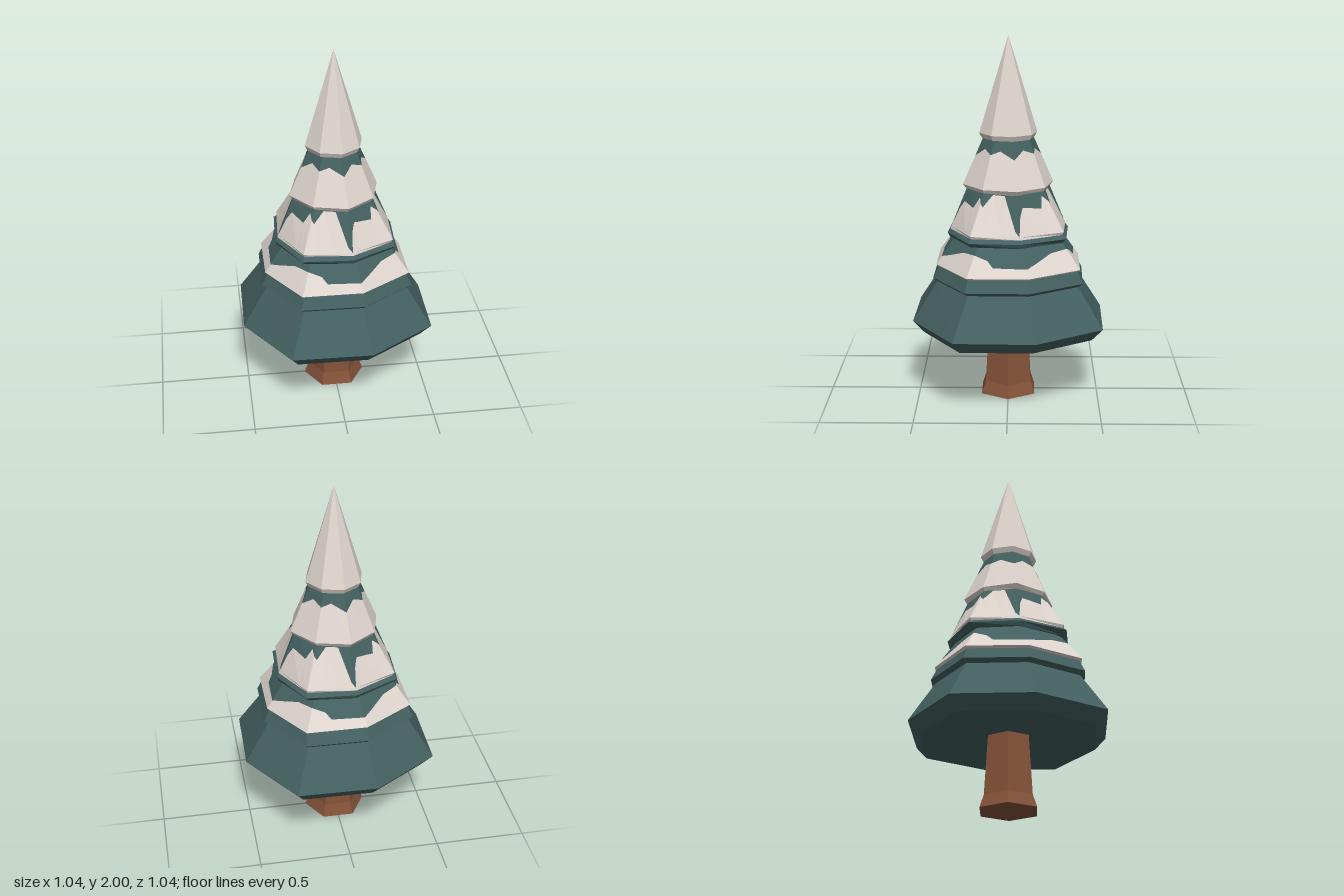
import * as THREE from 'three';

const mat = (name, color) => {
  const m = new THREE.MeshStandardMaterial({ color });
  m.name = name;
  return m;
};

// Corner of an eight-sided ring [y, weakRadius, strongRadius]; weak and strong corners alternate
function corner(ring, turn, k) {
  const a = THREE.MathUtils.degToRad(turn + 45 * k);
  const r = k % 2 ? ring[2] : ring[1];
  return new THREE.Vector3(Math.cos(a) * r, ring[0], Math.sin(a) * r);
}

// Point on a ring; t runs 0..1 over each quarter (two sides)
function onRing(ring, turn, quarter, t) {
  const half = t < 0.5 ? 0 : 1;
  const k = quarter * 2 + half;
  return corner(ring, turn, k).lerp(corner(ring, turn, k + 1), t * 2 - half);
}

function quad(out, l0, u0, u1, l1) {
  for (const p of [l0, u0, u1, l0, u1, l1]) out.push(p.x, p.y, p.z);
}

function toMesh(points, material, name) {
  const g = new THREE.BufferGeometry();
  g.setAttribute('position', new THREE.Float32BufferAttribute(points, 3));
  g.computeVertexNormals();
  const m = new THREE.Mesh(g, material);
  m.name = name;
  return m;
}

// Plain faceted skin through a list of rings
function skin(rings, turn) {
  const out = [];
  for (let i = 0; i + 1 < rings.length; i++)
    for (let k = 0; k < 8; k++)
      quad(out, corner(rings[i], turn, k), corner(rings[i + 1], turn, k),
        corner(rings[i + 1], turn, k + 1), corner(rings[i], turn, k + 1));
  return out;
}

// Sloping side split along a wavy line: snow below, needles above
function snowySlope(low, high, turn, edge) {
  const snow = [], green = [];
  for (let q = 0; q < 4; q++)
    for (let i = 0; i + 1 < edge.length; i++) {
      const [a, b] = [edge[i], edge[i + 1]].map(([t, v]) => {
        const l = onRing(low, turn, q, t), u = onRing(high, turn, q, t);
        return { l, u, m: l.clone().lerp(u, v) };
      });
      quad(snow, a.l, a.m, b.m, b.l);
      quad(green, a.m, a.u, b.u, b.m);
    }
  return { snow, green };
}

export function createModel() {
  const needles = mat('dark green needles', 0x446060);
  const snowMat = mat('snow', 0xdfd5cf);
  const bark = mat('brown bark', 0x84523a);
  const tree = new THREE.Group();
  tree.name = 'snowyFirTree';

  // Six-sided trunk with a flared foot
  const trunk = new THREE.Group();
  trunk.name = 'trunk';
  for (const [name, top, bottom, y0, y1] of [
    ['trunkFoot', 0.145, 0.17, 0, 0.07], ['trunkStem', 0.122, 0.145, 0.07, 0.42]]) {
    const g = new THREE.CylinderGeometry(top, bottom, y1 - y0, 6, 1, false, Math.PI / 2).toNonIndexed();
    g.computeVertexNormals();
    const m = new THREE.Mesh(g, bark);
    m.name = name;
    m.position.y = (y0 + y1) / 2;
    trunk.add(m);
  }
  tree.add(trunk);

  // Wide bare skirt, closed underneath
  tree.add(toMesh(skin([[0.4, 0.05, 0.05], [0.38, 0.48, 0.52], [0.45, 0.543, 0.586],
    [0.675, 0.4, 0.43]], -16), needles, 'bottomSkirt'));

  // Snow-covered tiers: rim rings, then a slope with its wavy snow line
  const tiers = [
    {
      name: 'lowerTier', turn: -16, rimMat: needles,
      rim: [[0.68, 0.36, 0.39], [0.67, 0.405, 0.438], [0.69, 0.427, 0.462], [0.755, 0.395, 0.43]],
      lip: [[0.755, 0.395, 0.43], [0.765, 0.407, 0.445]],
      top: [0.93, 0.29, 0.315],
      edge: [[0, 0.27], [0.3, 0.3], [0.36, 0.5], [0.5, 0.65], [0.7, 0.6], [0.9, 0.38], [1, 0.27]],
    },
    {
      name: 'middleTier', turn: -11.5, rimMat: needles,
      rim: [[0.935, 0.26, 0.28], [0.91, 0.325, 0.35], [0.935, 0.337, 0.375], [0.955, 0.322, 0.35]],
      lip: [[0.955, 0.322, 0.35], [0.97, 0.317, 0.358]],
      top: [1.19, 0.225, 0.222],
      edge: [[0, 0], [0.04, 0.12], [0.18, 0.92], [0.36, 0.93], [0.46, 0.65], [0.5, 0.72],
        [0.57, 0.85], [0.65, 0.58], [0.92, 0.65], [0.97, 0.45], [1, 0]],
    },
    {
      name: 'upperTier', turn: -11, rimMat: snowMat,
      rim: [[1.185, 0.19, 0.19], [1.175, 0.232, 0.225], [1.2, 0.25, 0.24]],
      top: [1.46, 0.135, 0.132],
      edge: [[0, 0.6], [0.3, 0.76], [0.5, 0.68], [0.75, 0.77], [1, 0.6]],
    },
  ];
  for (const { name, turn, rimMat, rim, lip, top, edge } of tiers) {
    const group = new THREE.Group();
    group.name = name;
    group.add(toMesh(skin(rim, turn), rimMat, name + 'Rim'));
    if (lip) group.add(toMesh(skin(lip, turn), snowMat, name + 'SnowLip'));
    const { snow, green } = snowySlope((lip || rim).at(-1), top, turn, edge);
    group.add(toMesh(snow, snowMat, name + 'Snow'), toMesh(green, needles, name + 'Needles'));
    tree.add(group);
  }

  // White pointed tip
  tree.add(toMesh(skin([[1.455, 0.1, 0.1], [1.45, 0.145, 0.142], [1.478, 0.159, 0.156],
    [2, 0, 0]], -10), snowMat, 'snowTip'));
  return tree;
}
